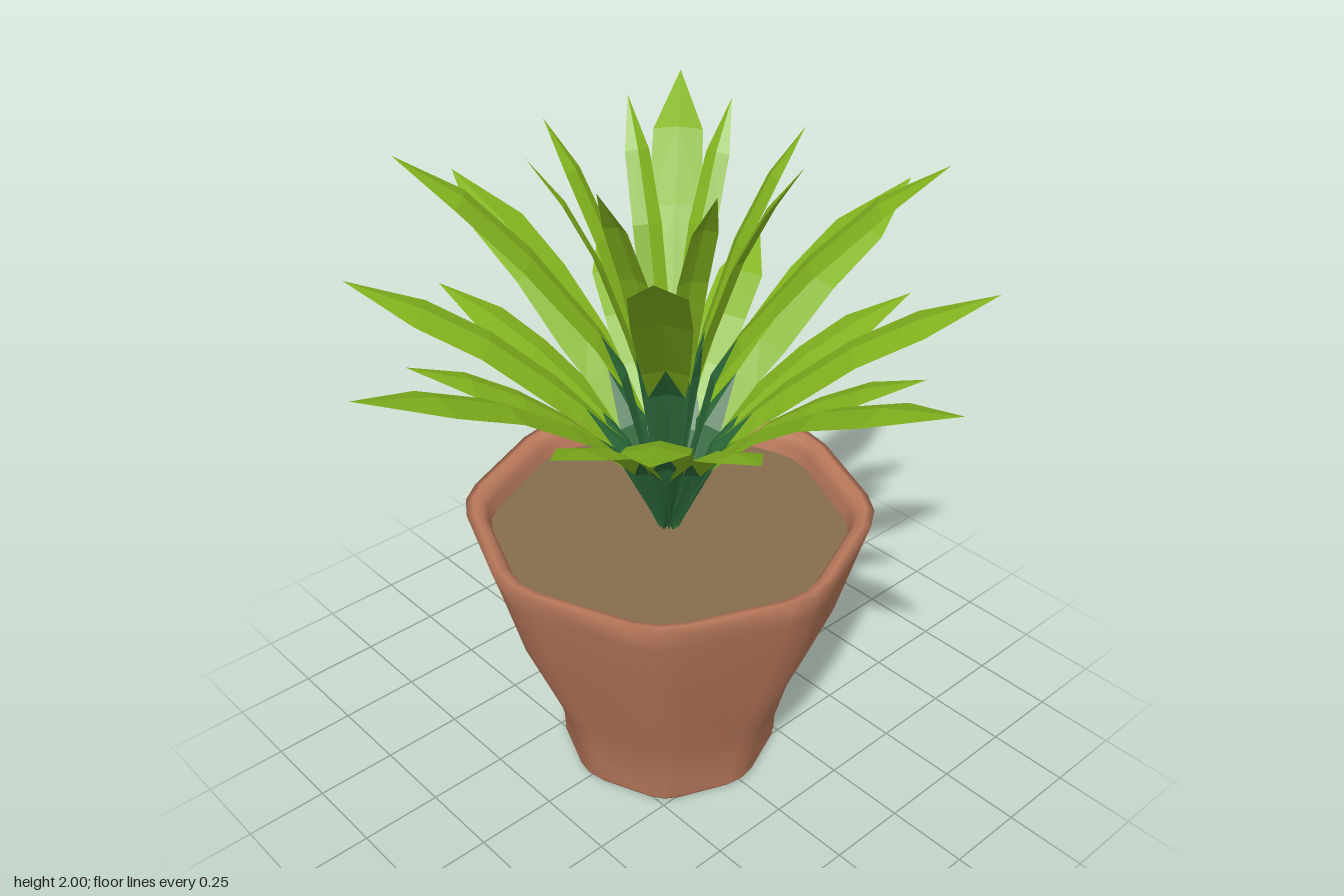
import * as THREE from 'three';
import { mergeVertices } from 'three/addons/utils/BufferGeometryUtils.js';

const mat = (name, color, side = THREE.FrontSide) => {
  const m = new THREE.MeshStandardMaterial({ color, side });
  m.name = name;
  return m;
};
const rad = THREE.MathUtils.degToRad;

// Lathe with an octagonal plan whose eight corners are softened by three points each
function octagonLathe(profile) {
  const g = new THREE.LatheGeometry(profile.map(([r, y]) => new THREE.Vector2(r, y)), 24);
  const pos = g.attributes.position, rows = profile.length;
  for (let i = 0; i < pos.count; i++) {
    const column = Math.floor(i / rows), step = (column % 3) - 1;
    const angle = rad(Math.floor(column / 3) * 45 + step * 8);
    const [r, y] = profile[i % rows];
    const k = step === 0 ? 1 : 0.985;
    pos.setXYZ(i, r * k * Math.sin(angle), y, r * k * Math.cos(angle));
  }
  g.deleteAttribute('uv');
  g.deleteAttribute('normal');
  const merged = mergeVertices(g);
  merged.computeVertexNormals();
  return merged;
}

// One ridged blade: profile rows are [distance out, height, half width]; the last row is the tip.
// The darker sheath ends in a V between rows 1 and 2.
function bladeGeometry(rows, fold) {
  const sheath = [], blade = [];
  const n = rows.length;
  const pts = rows.map(([r, y, w], i) => {
    const [r0, y0] = rows[Math.max(i - 1, 0)], [r1, y1] = rows[Math.min(i + 1, n - 1)];
    const d = (i === n - 1 ? 0 : fold) / Math.hypot(r1 - r0, y1 - y0);
    // the midrib rises above the two edges
    const mid = [r - d * (y1 - y0), y + d * (r1 - r0), 0];
    return { mid, left: [r, y, -w], right: [r, y, w] };
  });
  for (let i = 0; i < n - 1; i++) {
    const a = pts[i], b = pts[i + 1];
    const lower = i < 2 ? sheath : blade, upper = i < 1 ? sheath : blade;
    lower.push(a.mid, b.mid, a.right, a.left, b.mid, a.mid);
    if (i < n - 2) upper.push(a.right, b.mid, b.right, a.left, b.left, b.mid);
  }
  return [sheath, blade].map((list) => {
    const g = new THREE.BufferGeometry();
    g.setAttribute('position', new THREE.Float32BufferAttribute(list.flat(), 3));
    g.computeVertexNormals();
    return g;
  });
}

export function createModel() {
  const model = new THREE.Group();
  model.name = 'pottedPlant';
  const clay = mat('terracotta', 0xbb7a5d);
  const earth = mat('soil', 0x866e4d);
  const green = mat('leafGreen', 0x82b41e, THREE.DoubleSide);
  const dark = mat('sheathGreen', 0x2b6838, THREE.DoubleSide);

  // Eight-sided pot with a foot and a rounded rim
  const profile = [[0, 0], [0.325, 0], [0.34, 0.02], [0.342, 0.085], [0.385, 0.25],
    [0.512, 0.56], [0.58, 0.8], [0.604, 0.878], [0.58, 0.884], [0.555, 0.875], [0.538, 0.85], [0.525, 0.78]];
  const pot = new THREE.Mesh(octagonLathe(profile), clay);
  pot.name = 'pot';
  model.add(pot);

  const soil = new THREE.Mesh(new THREE.CylinderGeometry(0.545, 0.53, 0.02, 8), earth);
  soil.position.y = 0.8;
  soil.name = 'soil';
  model.add(soil);

  // Blade shapes
  const arching = [[0.015, 0.8, 0.025], [0.155, 1.09, 0.052], [0.28, 1.21, 0.07], [0.37, 1.285, 0.088],
    [0.57, 1.43, 0.09], [0.77, 1.53, 0.09], [1, 1.63, 0]];
  const diagonal = arching.map(([r, y, w]) => [r * 0.89, 0.8 + (y - 0.8) * 0.95, w * 0.92]);
  const low = [[0.015, 0.8, 0.025], [0.145, 1.06, 0.045], [0.22, 1.14, 0.055], [0.29, 1.205, 0.068],
    [0.42, 1.305, 0.07], [0.56, 1.385, 0.07], [0.725, 1.465, 0]];
  const upright = [[0.01, 0.8, 0.02], [0.13, 1.32, 0.05], [0.2, 1.43, 0.065], [0.38, 1.66, 0.078],
    [0.55, 1.83, 0.072], [0.72, 1.95, 0]];
  const inner = [[0.005, 0.8, 0.015], [0.08, 1.32, 0.035], [0.115, 1.44, 0.04], [0.2, 1.69, 0.042],
    [0.29, 1.87, 0.035], [0.375, 2, 0]];

  // Whorls of blades, repeated every quarter turn: name, shape, ridge height, angles
  const whorls = [
    ['longLeaf', arching, 0.02, [0]],
    ['diagonalLeaf', diagonal, 0.018, [45]],
    ['lowLeaf', low, 0.014, [24.8, 65.2]],
    ['uprightLeaf', upright, 0.014, [45]],
    ['innerLeaf', inner, 0.012, [20.4, 65.4]],
  ];
  for (const [name, rows, fold, angles] of whorls) {
    const [sheathGeo, bladeGeo] = bladeGeometry(rows, fold);
    for (let q = 0; q < 4; q++) {
      for (const a of angles) {
        const leaf = new THREE.Group();
        leaf.name = name;
        const sheath = new THREE.Mesh(sheathGeo, dark);
        sheath.name = 'leafSheath';
        const blade = new THREE.Mesh(bladeGeo, green);
        blade.name = 'leafBlade';
        leaf.add(sheath, blade);
        leaf.rotation.y = rad(a + q * 90);
        model.add(leaf);
      }
    }
  }
  return model;
}
